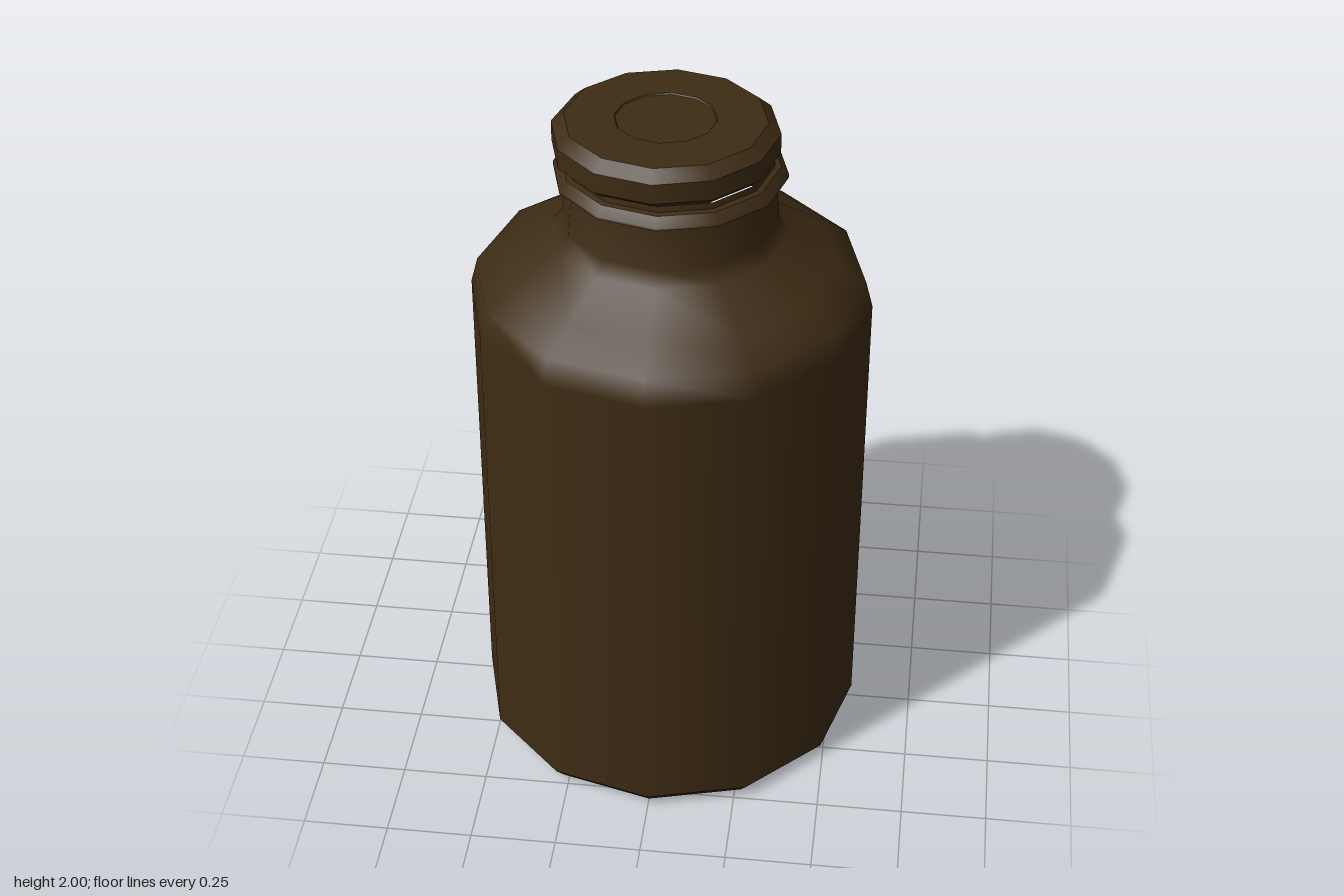
import * as THREE from 'three';

const SIDES = 12;
const brown = new THREE.MeshStandardMaterial({ color: 0x3e2c14 });

// Turned part: each strip is smooth in itself, with a sharp edge between strips.
function turned(name, strips) {
  const group = new THREE.Group();
  group.name = name;
  strips.forEach((strip, i) => {
    const points = strip.map(([r, y]) => new THREE.Vector2(r, y));
    const mesh = new THREE.Mesh(new THREE.LatheGeometry(points, SIDES), brown);
    mesh.name = `${name}Surface${i + 1}`;
    group.add(mesh);
  });
  return group;
}

export function createModel() {
  const model = new THREE.Group();
  model.name = 'bottle';

  // Body: flat base, bevelled foot, straight wall, sloping shoulder and neck
  model.add(turned('body', [
    [[0, 0], [0.535, 0]],
    [[0.535, 0], [0.57, 0.04]],
    [[0.57, 0.04], [0.57, 1.45], [0.55, 1.525], [0.47, 1.58], [0.33, 1.67], [0.302, 1.71], [0.292, 1.84], [0.285, 1.9]],
  ]));

  // Tamper ring round the neck
  model.add(turned('neckRing', [
    [[0.285, 1.848], [0.325, 1.848]],
    [[0.325, 1.848], [0.325, 1.856], [0.303, 1.88]],
    [[0.303, 1.88], [0.27, 1.885]],
  ]));

  // Cap, seated slightly off-centre, with a shallow round recess on top
  const cap = turned('cap', [
    [[0, 1.886], [0.285, 1.886]],
    [[0.285, 1.886], [0.315, 1.912]],
    [[0.315, 1.912], [0.315, 1.97]],
    [[0.315, 1.97], [0.28, 2]],
    [[0.28, 2], [0.142, 2]],
    [[0.142, 2], [0.139, 1.996]],
    [[0.139, 1.996], [0, 1.996]],
  ]);
  cap.position.set(-0.015, 0, -0.018);
  model.add(cap);

  return model;
}
